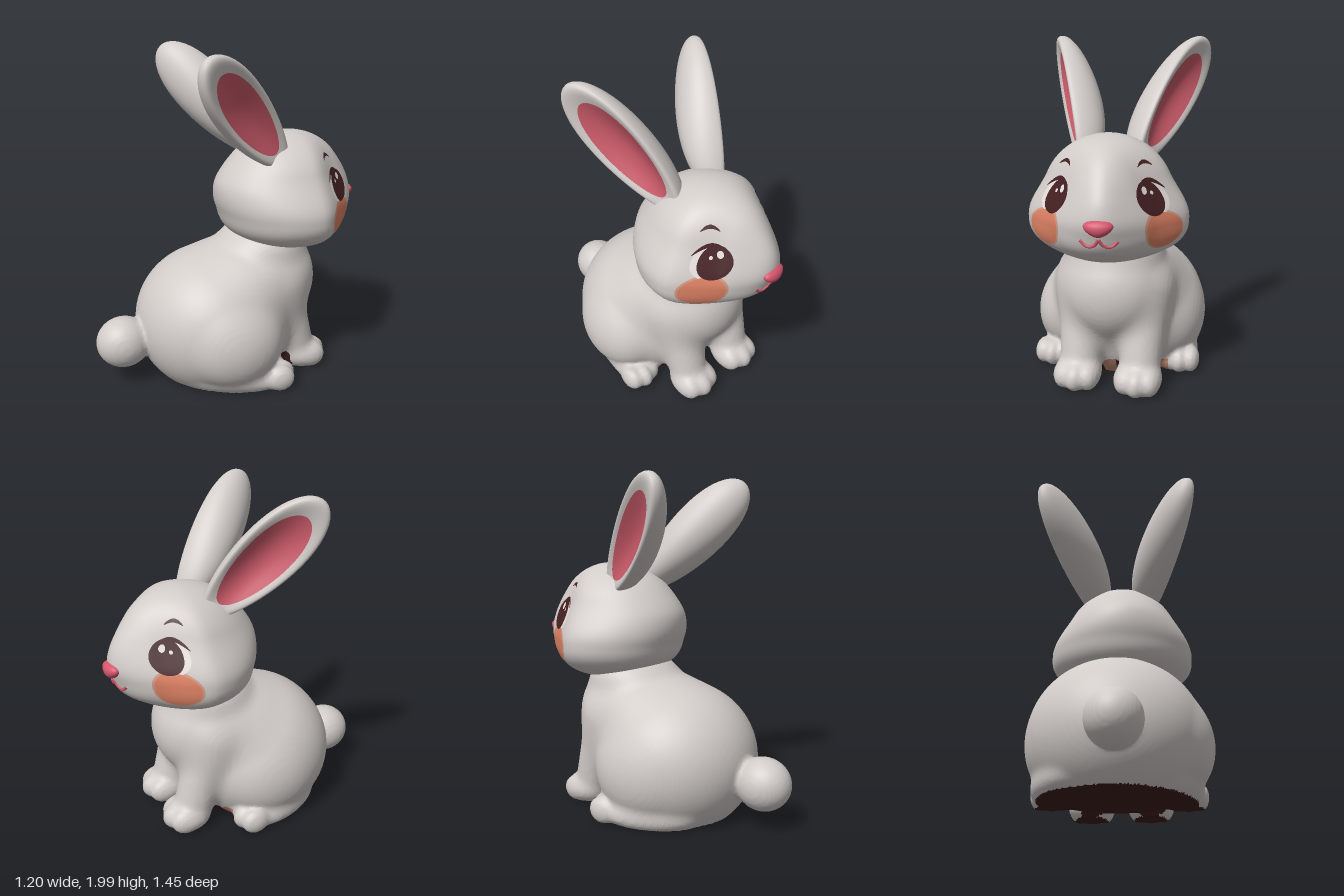
import * as THREE from 'three';
import { mergeVertices } from 'three/addons/utils/BufferGeometryUtils.js';

const V = (x, y, z) => new THREE.Vector3(x, y, z);
const step = THREE.MathUtils.smoothstep;

const paint = (name, color) => {
  const m = new THREE.MeshStandardMaterial({ color });
  m.name = name;
  return m;
};

// Signed distances for the soft body
function ellipsoid([cx, cy, cz], [rx, ry, rz], yaw = 0) {
  const c = Math.cos(yaw), s = Math.sin(yaw);
  return (px, py, pz) => {
    const dx = px - cx, dz = pz - cz;
    const x = (c * dx - s * dz) / rx, y = (py - cy) / ry, z = (s * dx + c * dz) / rz;
    const k = Math.hypot(x, y, z);
    return k * (k - 1) / (Math.hypot(x / rx, y / ry, z / rz) + 1e-9);
  };
}
function limb(a, b, ra, rb) {
  const d = b.map((q, i) => q - a[i]), len2 = d[0] ** 2 + d[1] ** 2 + d[2] ** 2;
  return (x, y, z) => {
    const p = [x - a[0], y - a[1], z - a[2]];
    const t = Math.min(1, Math.max(0, (p[0] * d[0] + p[1] * d[1] + p[2] * d[2]) / len2));
    return Math.hypot(p[0] - t * d[0], p[1] - t * d[1], p[2] - t * d[2]) - ra - t * (rb - ra);
  };
}

// Skin around a list of [distance, blend width], as a net of quads
function skin(parts, lo, hi, h) {
  const N = lo.map((l, k) => Math.ceil((hi[k] - l) / h) + 1);
  const S = [1, N[0], N[0] * N[1]];
  const f = new Float32Array(N[0] * N[1] * N[2]);
  const each = (trim, fn) => {
    for (let z = 0; z < N[2] - trim; z++)
      for (let y = 0; y < N[1] - trim; y++)
        for (let x = 0; x < N[0] - trim; x++) fn(x + y * S[1] + z * S[2], x, y, z);
  };
  each(0, (i, x, y, z) => {
    let d = 9;
    for (const [dist, k] of parts) {
      const e = dist(lo[0] + x * h, lo[1] + y * h, lo[2] + z * h);
      const m = Math.max(k - Math.abs(d - e), 0) / k;
      d = Math.min(d, e) - m * m * k / 4;
    }
    f[i] = d;
  });
  const pos = [], idx = [], cell = new Map();
  each(1, (i, ...at) => {
    const sum = [0, 0, 0];
    let n = 0;
    for (let c = 0; c < 8; c++) for (let a = 0; a < 3; a++) {
      if (c >> a & 1) continue;
      const bits = [c & 1, c >> 1 & 1, c >> 2 & 1];
      const j = i + bits[0] * S[0] + bits[1] * S[1] + bits[2] * S[2];
      const f0 = f[j], f1 = f[j + S[a]];
      if (f0 < 0 === f1 < 0) continue;
      bits[a] = f0 / (f0 - f1);
      bits.forEach((b, k) => { sum[k] += b; });
      n++;
    }
    if (!n) return;
    cell.set(i, pos.length / 3);
    sum.forEach((q, k) => pos.push(lo[k] + (at[k] + q / n) * h));
    for (let a = 0; a < 3; a++) {
      if (f[i] < 0 === f[i + S[a]] < 0) continue;
      const u = S[(a + 1) % 3], v = S[(a + 2) % 3];
      const q = [i, i - u, i - u - v, i - v].map(c => cell.get(c));
      if (f[i] >= 0) q.reverse();
      idx.push(q[0], q[1], q[2], q[0], q[2], q[3]);
    }
  });
  const geo = new THREE.BufferGeometry();
  geo.setAttribute('position', new THREE.Float32BufferAttribute(pos, 3));
  geo.setIndex(idx);
  return geo;
}

// Move every vertex by a rule, then weld and smooth
function shape(geo, rule) {
  const p = geo.attributes.position, v = V();
  for (let i = 0; i < p.count; i++) {
    v.fromBufferAttribute(p, i);
    rule(v);
    p.setXYZ(i, v.x, v.y, v.z);
  }
  geo.deleteAttribute('uv');
  geo.deleteAttribute('normal');
  const out = mergeVertices(geo, 1e-5);
  out.computeVertexNormals();
  return out;
}

// Sort faces into one group per colour, by face centre
function colourFaces(geo, pick, count) {
  const p = geo.attributes.position, lists = Array.from({ length: count }, () => []);
  const idx = geo.index.array, c = V(), q = V();
  for (let i = 0; i < idx.length; i += 3) {
    c.set(0, 0, 0);
    for (let k = 0; k < 3; k++) c.add(q.fromBufferAttribute(p, idx[i + k]));
    lists[pick(c.divideScalar(3))].push(idx[i], idx[i + 1], idx[i + 2]);
  }
  geo.setIndex(lists.flat());
  let start = 0;
  lists.forEach((l, m) => { geo.addGroup(start, l.length, m); start += l.length; });
  return geo;
}

export function createModel() {
  const fur = paint('fur', 0xd2ccc9), sole = paint('darkSole', 0x3e1d1d), belly = paint('bellyTint', 0xbd8a72);
  const innerEar = paint('innerEar', 0xca5a69), nosePink = paint('nosePink', 0xd4566c);
  const blush = paint('blush', 0xde8264), blushRim = paint('blushRim', 0xd59c85);
  const eyeDark = paint('eyeDark', 0x452022), eyeWhite = paint('eyeWhite', 0xe6e0dd);

  // The rabbit is built facing +z and then turned
  const model = new THREE.Group();
  const rabbit = new THREE.Group();
  rabbit.name = 'rabbit';
  rabbit.rotation.y = THREE.MathUtils.degToRad(142);
  model.add(rabbit);
  function add(parent, name, geo, mat) {
    const mesh = new THREE.Mesh(geo, mat);
    mesh.name = name;
    parent.add(mesh);
  }

  // Body, legs and tail in one soft skin
  const parts = [
    [ellipsoid([0.02, 0.33, -0.12], [0.5, 0.46, 0.49]), 0.05],
    [ellipsoid([0.02, 0.6, 0.1], [0.34, 0.24, 0.28]), 0.14],
    [ellipsoid([0.03, 0.57, 0.235], [0.32, 0.32, 0.295]), 0.1],
    [ellipsoid([0.03, 0.8, 0.2], [0.27, 0.14, 0.25]), 0.08],
    [ellipsoid([-0.02, 0.26, -0.705], [0.15, 0.155, 0.165]), 0.025],
  ];
  for (const s of [-1, 1]) {
    const x = s * 0.18 + 0.04;
    const footX = s * 0.39 + 0.022, toeZ = 0.145 - s * 0.04;
    parts.push(
      [ellipsoid([s * 0.335, 0.29, -0.09], [0.19, 0.26, 0.28]), 0.04],
      [ellipsoid([footX - s * 0.08, 0.06, toeZ - 0.24], [0.15, 0.095, 0.3], s * 0.33), 0.05],
      [limb([x, 0.56, 0.24], [x, 0.1, 0.38], 0.15, 0.115), 0.06],
      [ellipsoid([x, 0.075, 0.42], [0.138, 0.09, 0.13]), 0.04],
    );
    for (const t of [-1, 0, 1]) parts.push(
      [ellipsoid([footX + t * 0.066, 0.072, toeZ - Math.abs(t) * 0.025], [0.052, 0.078, 0.085]), 0.025],
      [ellipsoid([x + t * 0.077, 0.072, 0.49 - Math.abs(t) * 0.03], [0.053, 0.076, 0.08]), 0.025],
    );
  }
  const body = shape(skin(parts, [-0.66, -0.2, -0.94], [0.66, 1.04, 0.68], 0.017), v => { v.y = Math.max(v.y, 0); });
  // Dark soles and underside, with a tinted belly stripe and inner feet
  add(rabbit, 'body', colourFaces(body, c => {
    const side = Math.abs(c.x - 0.02);
    if (c.y < 0.004) return 1;
    if (c.z < -0.06 || c.z > 0.32 || c.y > 0.21 || side > 0.33) return 0;
    if (side > 0.25) return c.y < 0.1 && c.z < 0.2 ? 2 : 0;
    return c.y < 0.14 && side > 0.045 ? 1 : 2;
  }, 3), [fur, sole, belly]);

  // Head: wide low cheeks, narrowing to a soft muzzle
  const head = new THREE.Group();
  head.name = 'head';
  head.position.set(0.03, 1.13, 0.36);
  head.rotation.y = 0.13;
  rabbit.add(head);
  function onHead(d, lift = 1) {
    const low = 1 + 0.13 * (1 - step(d.y, -0.8, -0.3));
    const taper = 0.23 + 0.1 * step(d.y, -0.4, 0.25);
    const w = (0.37 + 0.12 * (1 - step(d.y, -0.5, 0.4)))
      * (1 - taper * step(d.z, 0, 0.65) - 0.15 * step(d.z, 0.6, 1));
    const z = d.z * (d.z > 0 ? 0.42 : 0.46)
      + 0.03 * step(d.z, 0.55, 1) * (1 - step(d.y, -0.3, 0.3))
      - 0.03 * step(d.y, 0.1, 0.6) * d.z;
    return d.set(d.x * w * low, d.y * 0.355, z * low).multiplyScalar(lift);
  }
  const facing = (a, b) => V(Math.sin(a) * Math.cos(b), Math.sin(b), Math.cos(a) * Math.cos(b));
  add(head, 'skull', shape(new THREE.SphereGeometry(1, 72, 54), v => { onHead(v); }), fur);

  // Thin painted ellipse or arc following the head (a: turn, b: rise)
  function patch(name, mat, a, b, ra, rb, lift, bow = 0) {
    const geo = shape(new THREE.RingGeometry(0.001, 1, 40, 8), v => {
      v.copy(onHead(facing(a + v.x * ra, b + v.y * rb - bow * v.x * v.x), lift));
    });
    add(head, name, geo, mat);
  }

  for (const s of [-1, 1]) {
    const side = s > 0 ? 'left' : 'right';
    // Eye, lashes, brow and cheek
    patch(side + 'EyeWhite', eyeWhite, s * 1.06, 0.13, 0.23, 0.26, 1.009);
    patch(side + 'Iris', eyeDark, s * 1.01, 0.13, 0.21, 0.26, 1.015);
    patch(side + 'Lashes', eyeDark, s * 1.07, 0.39, 0.23, 0.035, 1.018, 0.16);
    patch(side + 'Glint', eyeWhite, s * 0.98, 0.25, 0.045, 0.06, 1.021);
    patch(side + 'SmallGlint', eyeWhite, s * 1.09, 0.2, 0.022, 0.03, 1.021);
    patch(side + 'Brow', eyeDark, s * 1.08, 0.69, 0.14, 0.035, 1.012, 0.08);
    patch(side + 'CheekRim', blushRim, s * 1.05, -0.38, 0.31, 0.33, 1.006);
    patch(side + 'Cheek', blush, s * 1.05, -0.38, 0.28, 0.295, 1.011);
    // Mouth curve
    const pts = [[0, -0.37], [0.07, -0.47], [0.16, -0.51], [0.25, -0.49], [0.34, -0.41]]
      .map(([a, b]) => onHead(facing(s * a, b)));
    add(head, side + 'Mouth', new THREE.TubeGeometry(new THREE.CatmullRomCurve3(pts), 20, 0.009, 8), nosePink);

    // Ear: dished leaf with a full back, thickest at its root, tilted back and outwards
    const axis = V(s * 0.335, 0.708, -0.62).normalize();
    const face = V(s * 0.9, 0, 0.36);
    face.addScaledVector(axis, -face.dot(axis)).normalize();
    const place = new THREE.Matrix4().makeBasis(V().crossVectors(axis, face), axis, face)
      .setPosition(V(s * 0.13 + 0.03, 1.38, 0.19).addScaledVector(face, 0.055 - s * 0.015));
    const ear = new THREE.Group();
    ear.name = side + 'Ear';
    rabbit.add(ear);
    const earPart = (name, mat, from, to) => {
      const geo = new THREE.SphereGeometry(1, 56, 24, 0, Math.PI * 2, from, to - from).rotateX(Math.PI / 2);
      add(ear, name, shape(geo, v => {
        const n = v.z;
        v.z = n > 0 ? 0.1 * (1.6 * n - 1.9 * n * n) : 0.17 * n * (1 - 0.2 * v.y);
        v.x *= 0.168 * (1 + 0.2 * v.y);
        v.y = 0.37 + 0.46 * v.y;
        v.applyMatrix4(place);
      }), mat);
    };
    earPart('earLining', innerEar, 0, 0.82);
    earPart('earShell', fur, 0.82, Math.PI);
  }

  // Nose: rounded triangle
  add(head, 'nose', shape(new THREE.SphereGeometry(1, 32, 24), v => {
    v.set(v.x * 0.074 * (1 + 0.35 * v.y), -0.07 + v.y * 0.045, 0.43 + v.z * 0.042);
  }), nosePink);

  return model;
}
